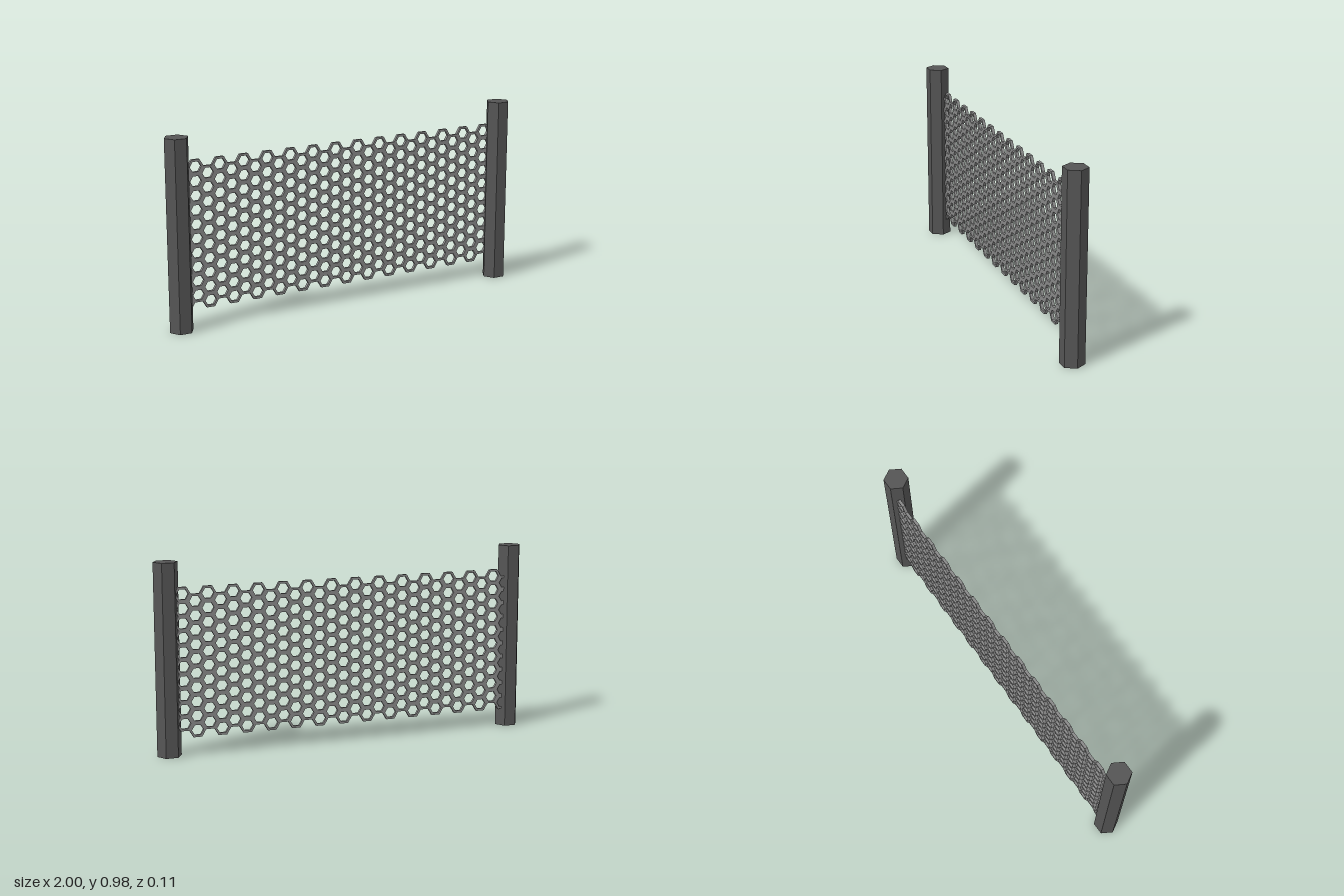
import * as THREE from 'three';
import { mergeGeometries } from 'three/addons/utils/BufferGeometryUtils.js';

const POST_HEIGHT = 0.978, POST_RADIUS = 0.0625;
const COLUMNS = 28, ROWS = 10;
const PITCH_X = 0.0652, PITCH_Y = 0.0725;
const DEPTH = 0.015, MESH_Z = -0.0335;

// Flat-topped hexagon outline: half width rx, half height ry
function hexagon(rx, ry, path) {
  const points = [[1, 0], [0.5, 1], [-0.5, 1], [-1, 0], [-0.5, -1], [0.5, -1]];
  return path.setFromPoints(points.map(([x, y]) => new THREE.Vector2(x * rx, y * ry)));
}

// One hexagonal ring of the netting
function cellGeometry() {
  const rx = PITCH_X / 1.5, ry = PITCH_Y / 2;
  const ring = hexagon(rx, ry, new THREE.Shape());
  ring.holes.push(hexagon(rx * 0.7, ry * 0.7, new THREE.Path()));
  return new THREE.ExtrudeGeometry(ring, { depth: DEPTH, bevelEnabled: false });
}

export function createModel() {
  const fence = new THREE.Group();
  fence.name = 'fence';
  const postMaterial = new THREE.MeshStandardMaterial({ color: 0x555555, flatShading: true });
  const meshMaterial = new THREE.MeshStandardMaterial({ color: 0x888888, flatShading: true });

  // Six-sided posts, a corner pointing along x
  const postGeometry = new THREE.CylinderGeometry(POST_RADIUS, POST_RADIUS, POST_HEIGHT, 6);
  postGeometry.rotateY(Math.PI / 2);
  for (const [name, side] of [['leftPost', 1], ['rightPost', -1]]) {
    const post = new THREE.Mesh(postGeometry, postMaterial);
    post.name = name;
    post.position.set(side * (1 - POST_RADIUS), POST_HEIGHT / 2, 0);
    fence.add(post);
  }

  // Honeycomb netting, every other column raised by half a cell
  const cell = cellGeometry();
  const cells = [];
  for (let i = 0; i < COLUMNS; i++) {
    for (let j = 0; j < ROWS; j++) {
      const x = -0.897 + i * PITCH_X;
      const y = 0.128 + (j + (i % 2) / 2) * PITCH_Y;
      cells.push(cell.clone().translate(x, y, MESH_Z));
    }
  }
  const netting = new THREE.Mesh(mergeGeometries(cells), meshMaterial);
  netting.name = 'honeycombNetting';
  fence.add(netting);

  return fence;
}
